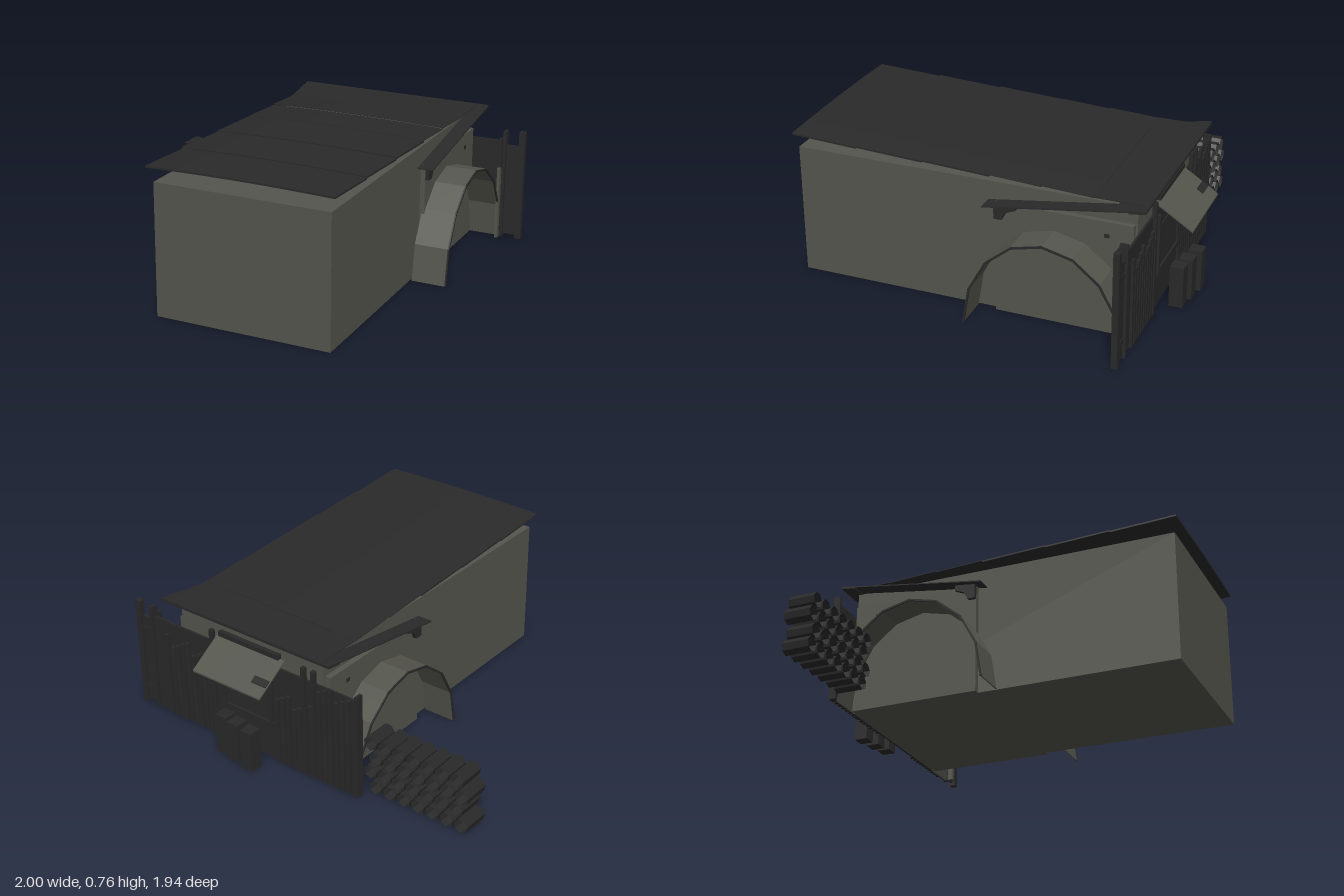
import * as THREE from 'three';

export function createModel() {
  const model = new THREE.Group();
  const mat = (name, color, side = THREE.FrontSide) => {
    const m = new THREE.MeshStandardMaterial({ color, side });
    m.name = name;
    m.flatShading = true;
    return m;
  };
  const wall = mat('wall grey', 0x54554d);
  const roof = mat('roof charcoal', 0x2a2a2b);
  const timber = mat('dark timber', 0x282928, THREE.DoubleSide);

  const add = (name, geo, m, parent = model) => {
    const mesh = new THREE.Mesh(geo, m);
    mesh.name = name;
    parent.add(mesh);
    return mesh;
  };
  // Box given by its low and high limits on each axis
  const box = (name, m, x0, x1, y0, y1, z0, z1, parent) => {
    const b = add(name, new THREE.BoxGeometry(x1 - x0, y1 - y0, z1 - z0), m, parent);
    b.position.set((x0 + x1) / 2, (y0 + y1) / 2, (z0 + z1) / 2);
  };
  // Thin sheet sloping in z between two edge points
  const sheet = (name, m, x0, x1, [za, ya], [zb, yb], t, parent, crown = 0) => {
    const g = new THREE.BoxGeometry(x1 - x0, t, 1, 6, 1, 1);
    const p = g.attributes.position;
    for (let i = 0; i < p.count; i++) {
      const k = p.getZ(i) + 0.5, u = p.getX(i) / ((x1 - x0) / 2);
      p.setXYZ(i, p.getX(i) + (x0 + x1) / 2,
        p.getY(i) + ya + (yb - ya) * k + crown * (1 - u * u), za + (zb - za) * k);
    }
    g.computeVertexNormals();
    add(name, g, m, parent);
  };

  // Main hall and its wider rear block
  box('hall', wall, -0.21, 0.69, 0, 0.67, -0.78, 0.95);
  box('rearBlock', wall, -0.24, 0.715, 0, 0.58, -0.77, -0.09);

  // Long roof of overlapping sheets, each lapping over the one in front is lower
  const mainRoof = new THREE.Group();
  mainRoof.name = 'mainRoof';
  model.add(mainRoof);
  const edges = [-0.58, -0.32, -0.06, 0.283, 0.627, 0.97];
  const roofY = (z) => 0.69 + 0.05 * (z + 0.58) / 1.55;
  for (let i = 0; i < 5; i++) {
    const z0 = edges[i], z1 = edges[i + 1];
    sheet('roofSheet', roof, -0.24, 0.714, [z0, roofY(z0)], [z1, roofY(z1) + 0.005],
      i < 2 ? 0.003 : 0.009, mainRoof, 0.008);
  }
  // Rear roof falling towards the front, with a capping along the middle
  sheet('rearRoof', roof, -0.29, 0.77, [-0.84, 0.69], [-0.045, 0.57], 0.006);
  sheet('rearRoofEdge', roof, -0.29, 0.77, [-0.84, 0.688], [-0.76, 0.676], 0.014);
  sheet('rearRoofCap', roof, -0.24, 0.714, [-0.84, 0.692], [-0.57, 0.692], 0.003);

  // Half-round side shelters
  const archShape = (t) => {
    const s = new THREE.Shape();
    const n = 8;
    for (let i = 0; i <= 2 * n + 1; i++) {
      const inner = i > n;
      const a = Math.PI * (inner ? 2 * n + 1 - i : i) / n;
      const x = -0.385 + (0.4 - (inner ? t : 0)) * Math.cos(a);
      const y = (0.485 - (inner ? t : 0)) * Math.sin(a);
      if (i) s.lineTo(x, y); else s.moveTo(x, y);
    }
    return s;
  };
  const arch = (name, m, x0, x1, t) => {
    const g = new THREE.ExtrudeGeometry(archShape(t), { depth: x1 - x0, bevelEnabled: false });
    g.rotateY(-Math.PI / 2);
    add(name, g, m).position.x = x1;
  };
  arch('leftShelter', wall, 0.70, 0.873, 0.007);
  arch('leftShelterRim', timber, 0.873, 0.88, 0.01);
  arch('rightShelter', wall, -0.395, -0.22, 0.007);
  arch('rightShelterRim', timber, -0.402, -0.395, 0.01);

  // Roof braces and small side plates
  for (const [x0, x1, px] of [[0.715, 0.735, 0.716], [-0.26, -0.24, -0.243]]) {
    const s = new THREE.Shape([[-0.09, 0.575], [-0.09, 0.5], [-0.13, 0.5], [-0.15, 0.54], [-0.2, 0.56], [-0.2, 0.588]]
      .map(([a, b]) => new THREE.Vector2(a, b)));
    const g = new THREE.ExtrudeGeometry(s, { depth: x1 - x0, bevelEnabled: false });
    g.rotateY(-Math.PI / 2);
    add('roofBrace', g, timber).position.x = x1;
    box('sidePlate', timber, px, px + 0.002, 0.5, 0.52, -0.655, -0.63);
  }

  // Rear fence: backing boards, uneven slats and posts
  const fence = new THREE.Group();
  fence.name = 'rearFence';
  model.add(fence);
  box('fenceBoard', timber, -0.415, 0.89, 0, 0.53, -0.79, -0.78, fence);
  const slats = (from, to, top) => {
    const step = 0.035, count = Math.floor((to - from) / step);
    for (let i = 0; i < count; i++) {
      const x = from + i * step;
      box('slat', timber, x, x + 0.024, 0, top - 0.02 * ((i * 5) % 4), -0.803, -0.79, fence);
    }
  };
  slats(-0.41, -0.15, 0.54);
  slats(-0.15, 0.1, 0.4);
  slats(0.5, 0.84, 0.46);
  box('endPost', timber, -0.425, -0.408, 0, 0.56, -0.805, -0.765, fence);
  box('endPost', timber, 0.883, 0.9, 0, 0.585, -0.805, -0.765, fence);
  box('innerPost', timber, 0.868, 0.883, 0.39, 0.55, -0.765, -0.75, fence);
  box('innerFoot', wall, 0.868, 0.882, 0, 0.39, -0.765, -0.735, fence);
  for (const x of [-0.17, -0.11, 0.47]) box('tallPost', timber, x, x + 0.022, 0, 0.6, -0.806, -0.785, fence);
  box('sidePanel', timber, 0.9, 0.965, 0.015, 0.51, -0.79, -0.78, fence);
  for (const y of [0.08, 0.42]) box('sideRail', timber, 0.9, 0.97, y, y + 0.03, -0.794, -0.776, fence);
  box('outerPost', timber, 0.968, 1.0, 0, 0.59, -0.8, -0.77, fence);

  // Serving hatch with frame and awning
  box('hatch', roof, 0.12, 0.4, 0.2, 0.43, -0.796, -0.79);
  for (const x of [0.1, 0.4]) box('hatchPost', timber, x, x + 0.022, 0.18, 0.5, -0.805, -0.79);
  box('hatchShelf', timber, 0.09, 0.43, 0.19, 0.215, -0.806, -0.79);
  box('awningBar', timber, 0.05, 0.43, 0.585, 0.61, -0.805, -0.78);
  sheet('awning', wall, 0.025, 0.45, [-0.97, 0.46], [-0.785, 0.58], 0.008);
  sheet('awningHook', timber, 0.03, 0.12, [-0.92, 0.495], [-0.89, 0.515], 0.012);

  // Square stools standing under the awning
  [0.15, 0.25, 0.34].forEach((x, i) => {
    const z = -0.95 + 0.017 * i;
    box('stool', timber, x - 0.035, x + 0.035, 0, 0.215, z, z + 0.07);
  });

  // Stack of open-ended hollow logs
  const stack = new THREE.Group();
  stack.name = 'logStack';
  model.add(stack);
  const logGeo = new THREE.CylinderGeometry(0.038, 0.038, 0.14, 7, 1, true).rotateX(Math.PI / 2);
  for (let row = 0; row < 4; row++) {
    for (let col = 0; col < 7; col++) {
      const log = add('log', logGeo, timber, stack);
      log.position.set(-0.962 + col * 0.082 + (row % 2) * 0.03, 0.038 + row * 0.08, -0.66);
    }
  }

  return model;
}
